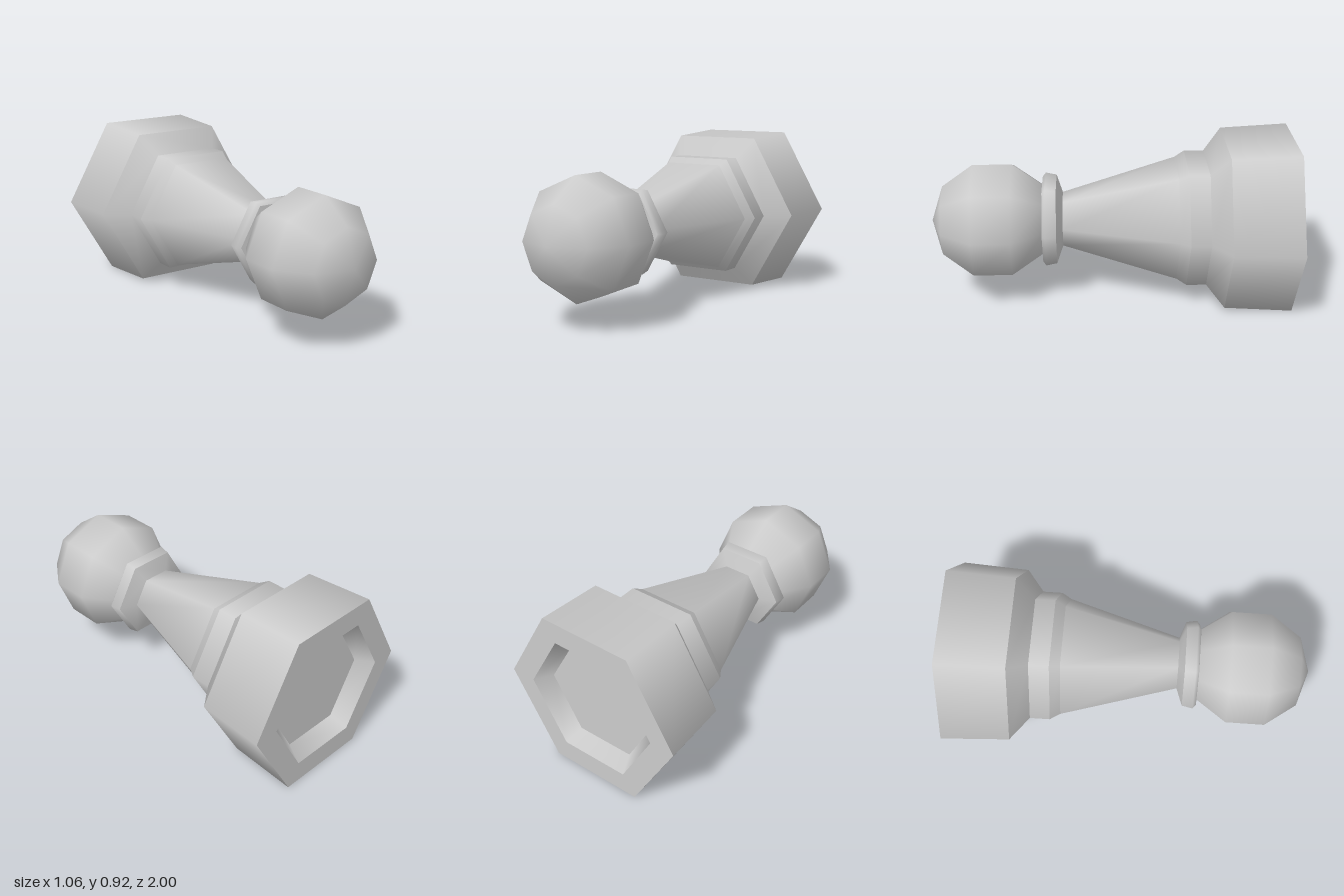
import * as THREE from 'three';

const material = new THREE.MeshStandardMaterial({ color: 0xcccccc });

// One six-sided turned band; smooth around, sharp where it meets its neighbours
function turned(name, points) {
  const profile = points.map(([r, y]) => new THREE.Vector2(r, y));
  const mesh = new THREE.Mesh(new THREE.LatheGeometry(profile, 6, Math.PI / 2), material);
  mesh.name = name;
  return mesh;
}

// A part made of consecutive bands with a crease at every profile point
function creased(name, points) {
  const part = new THREE.Group();
  part.name = name;
  for (let i = 0; i < points.length - 1; i++) {
    part.add(turned(name + 'Band' + (i + 1), [points[i], points[i + 1]]));
  }
  return part;
}

export function createModel() {
  const model = new THREE.Group();
  model.name = 'pawn';

  // Upright pawn along y, then laid down so its head points to +z
  const body = new THREE.Group();
  body.name = 'lyingPawn';
  body.rotation.x = Math.PI / 2;
  body.position.y = 0.46;
  model.add(body);

  // Hollowed foot, heavy base and shoulder
  body.add(creased('base', [
    [0, -0.91], [0.33, -0.91], [0.39, -1], [0.531, -1],
    [0.51, -0.625], [0.38, -0.525],
  ]));

  // Step and tapered neck
  body.add(creased('step', [[0.38, -0.525], [0.38, -0.415], [0.345, -0.36]]));
  body.add(turned('neck', [[0.345, -0.36], [0.15, 0.275]]));

  // Collar, closed at both ends
  body.add(creased('collarUnderside', [[0.14, 0.27], [0.15, 0.27], [0.25, 0.305]]));
  body.add(turned('collar', [[0.25, 0.305], [0.262, 0.365], [0.24, 0.383]]));
  body.add(turned('collarTop', [[0.24, 0.383], [0.1, 0.39]]));

  // Faceted ball head with smooth shading
  const head = new THREE.Mesh(new THREE.SphereGeometry(0.345, 8, 5), material);
  head.name = 'head';
  head.position.y = 0.655;
  body.add(head);

  return model;
}
